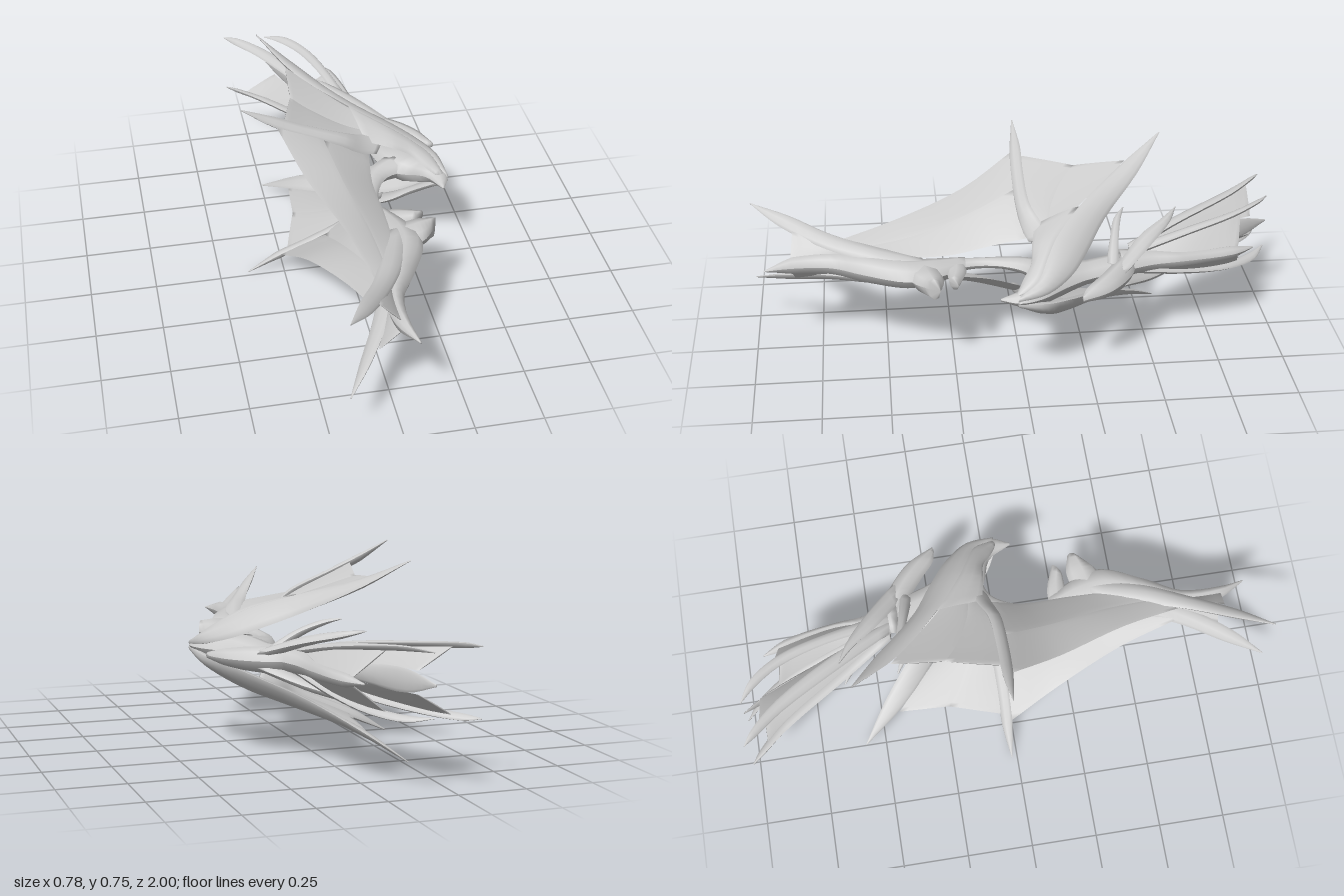
import * as THREE from 'three';

const hide = new THREE.MeshStandardMaterial({ color: 0xcccccc, side: THREE.DoubleSide });
hide.name = 'pale grey hide';

const vec = (p) => new THREE.Vector3(...p);
// Points on the plane of symmetry, given as [x, z]
const flat = (pts) => pts.map(([x, z]) => [x, 0, z]);
const flip = (pts) => pts.map(([x, h, z]) => [x, -h, z]);

// Lens-shaped solid lofted between two edge curves; t lists the half thickness
function blade(name, edgeA, edgeB, t) {
  const a = new THREE.CatmullRomCurve3(edgeA.map(vec));
  const b = new THREE.CatmullRomCurve3(edgeB.map(vec));
  const thick = (u) => {
    if (!Array.isArray(t)) return t;
    const f = u * (t.length - 1), i = Math.min(Math.floor(f), t.length - 2);
    return THREE.MathUtils.lerp(t[i], t[i + 1], f - i);
  };
  const steps = (edgeA.length - 1) * 4, half = 5, ring = half * 2;
  const pos = [], idx = [];
  const mid = (u) => a.getPoint(u).add(b.getPoint(u)).multiplyScalar(0.5);
  let normal = new THREE.Vector3(0, 1, 0);
  for (let i = 0; i <= steps; i++) {
    const u = i / steps, d = b.getPoint(u).sub(a.getPoint(u)), m = mid(u);
    const tangent = mid(Math.min(1, u + 0.01)).sub(mid(Math.max(0, u - 0.01))).normalize();
    const n = tangent.cross(d);
    if (n.length() > 1e-3) normal = n.normalize();
    for (let k = 0; k < ring; k++) {
      const s = k < half ? k : k - 1;
      const ang = (s / (half - 1)) * Math.PI;
      const p = m.clone().addScaledVector(d, -Math.cos(ang) / 2)
        .addScaledVector(normal, Math.sin(ang) * thick(u));
      pos.push(p.x, p.y, p.z);
      if (i < steps && k % half !== half - 1) {
        const q = i * ring + k;
        idx.push(q, q + ring, q + 1, q + 1, q + ring, q + ring + 1);
      }
    }
  }
  // End caps
  const last = steps * ring;
  for (let k = 1; k < ring - 1; k++) idx.push(0, k, k + 1, last, last + k + 1, last + k);
  const geo = new THREE.BufferGeometry();
  geo.setAttribute('position', new THREE.Float32BufferAttribute(pos, 3));
  geo.setIndex(idx);
  geo.computeVertexNormals();
  const mesh = new THREE.Mesh(geo, hide);
  mesh.name = name;
  return mesh;
}

export function createModel() {
  const model = new THREE.Group();
  model.name = 'wingedCreature';
  const body = new THREE.Group();
  body.name = 'body';
  body.position.y = 0.373;
  model.add(body);
  const centre = (name, a, b, t) => body.add(blade(name, flat(a), flat(b), t));
  const pair = (name, a, b, t) => {
    body.add(blade(name + 'Upper', a, b, t));
    body.add(blade(name + 'Lower', flip(a), flip(b), t));
  };

  // Chest, neck and head
  centre('chestAndNeck',
    [[0.358, 0.09], [0.388, 0.02], [0.365, -0.06], [0.29, -0.16], [0.24, -0.24], [0.2, -0.36]],
    [[0.35, 0.088], [0.3, 0], [0.2, -0.04], [0.15, -0.12], [0.12, -0.25], [0.08, -0.39]],
    [0.005, 0.03, 0.055, 0.055, 0.04, 0.045]);
  centre('head',
    [[0.388, -0.21], [0.345, -0.3], [0.29, -0.36], [0.2, -0.42], [0.1, -0.44]],
    [[0.37, -0.205], [0.33, -0.215], [0.27, -0.265], [0.2, -0.32], [0.1, -0.38]],
    [0.012, 0.03, 0.042, 0.05, 0.035]);
  pair('longHorn',
    [[0.25, 0.025, -0.38], [0.12, 0.075, -0.5], [0.01, 0.105, -0.585], [-0.07, 0.125, -0.62]],
    [[0.18, 0.025, -0.36], [0.07, 0.085, -0.46], [-0.01, 0.115, -0.56], [-0.068, 0.128, -0.617]],
    [0.018, 0.018, 0.013, 0.003]);
  pair('shortHorn',
    [[0.2, 0.025, -0.36], [0.1, 0.09, -0.375], [0.01, 0.125, -0.395], [-0.055, 0.14, -0.415]],
    [[0.17, 0.025, -0.32], [0.08, 0.085, -0.345], [0, 0.125, -0.37], [-0.053, 0.143, -0.41]],
    [0.018, 0.015, 0.011, 0.003]);

  // Rear fan: middle feathers, side feathers and the webs between them
  centre('fanKeelFeather',
    [[0.19, -0.38], [0.15, -0.5], [0.135, -0.62], [0.1, -0.82], [0.05, -0.905]],
    [[0.06, -0.38], [0.07, -0.48], [0.1, -0.62], [0.06, -0.8], [0.046, -0.9]],
    [0.05, 0.04, 0.03, 0.025, 0.003]);
  const middle = [[0.08, 0.025, -0.42], [-0.03, 0.035, -0.7], [-0.11, 0.04, -0.89], [-0.165, 0.004, -1]];
  body.add(blade('fanMiddleFeather', middle, flip(middle), [0.02, 0.012, 0.008, 0.002]));
  pair('fanOuterFeather',
    [[0.1, 0.035, -0.42], [0, 0.085, -0.6], [-0.17, 0.12, -0.86], [-0.28, 0.13, -0.97], [-0.33, 0.122, -1]],
    [[0.05, 0.035, -0.42], [-0.06, 0.075, -0.6], [-0.215, 0.105, -0.85], [-0.295, 0.112, -0.95], [-0.33, 0.12, -0.998]],
    [0.016, 0.013, 0.011, 0.008, 0.002]);
  pair('fanInnerFeather',
    [[0.13, 0.035, -0.42], [0.07, 0.085, -0.65], [0.005, 0.115, -0.83], [-0.08, 0.125, -0.95], [-0.16, 0.11, -0.998]],
    [[0.08, 0.035, -0.42], [0.03, 0.085, -0.65], [-0.04, 0.105, -0.84], [-0.11, 0.11, -0.94], [-0.16, 0.108, -0.994]],
    [0.016, 0.013, 0.011, 0.008, 0.002]);
  pair('fanOuterWeb',
    [[0.07, 0.035, -0.42], [-0.03, 0.08, -0.6], [-0.19, 0.112, -0.86], [-0.25, 0.115, -0.935]],
    [[0.08, 0.025, -0.42], [0.02, 0.03, -0.6], [-0.1, 0.04, -0.86], [-0.13, 0.04, -0.93]], 0.003);
  pair('fanInnerWeb',
    [[0.1, 0.035, -0.42], [0.05, 0.085, -0.65], [-0.02, 0.11, -0.82], [-0.05, 0.112, -0.87]],
    [[0.13, 0.01, -0.45], [0.12, 0.01, -0.62], [0.09, 0.01, -0.77], [0.07, 0.01, -0.84]], 0.003);

  // Slim spine, hips with two spurs, and tail
  centre('spine',
    [[0.25, -0.05], [0.16, -0.02], [0.11, 0.06], [0.095, 0.15], [0.11, 0.24]],
    [[0.16, -0.13], [0.08, -0.06], [0.05, 0.05], [0.05, 0.15], [0.05, 0.26]],
    [0.045, 0.03, 0.02, 0.02, 0.025]);
  centre('frontSpur', [[0.07, 0.2], [0.14, 0.2], [0.24, 0.235]], [[0.07, 0.27], [0.15, 0.27], [0.2, 0.268]],
    [0.025, 0.025, 0.025]);
  centre('rearSpur', [[0.12, 0.3], [0.2, 0.285], [0.27, 0.302]], [[0.12, 0.42], [0.2, 0.4], [0.25, 0.345]],
    [0.04, 0.045, 0.042]);
  centre('tail',
    [[0.11, 0.2], [0.18, 0.33], [0.195, 0.42], [0.125, 0.58], [0.06, 0.7], [0.05, 0.85], [0.063, 0.95]],
    [[0.05, 0.2], [0.06, 0.32], [0.06, 0.42], [0.02, 0.58], [-0.01, 0.7], [0, 0.84], [0.055, 0.945]],
    [0.03, 0.045, 0.05, 0.052, 0.042, 0.035, 0.002]);
  pair('tailFin',
    [[0.15, 0.02, 0.36], [0.09, 0.04, 0.56], [0.015, 0.055, 0.71], [-0.095, 0.105, 0.89], [-0.188, 0.16, 1]],
    [[0.07, 0.025, 0.36], [0, 0.06, 0.57], [-0.055, 0.09, 0.71], [-0.125, 0.132, 0.85], [-0.19, 0.16, 0.996]],
    [0.02, 0.022, 0.016, 0.012, 0.002]);
  pair('tailWeb',
    [[0.03, 0.055, 0.6], [-0.02, 0.075, 0.74], [-0.06, 0.1, 0.84]],
    [[0.03, 0.02, 0.6], [0.02, 0.02, 0.74], [0.02, 0.02, 0.85]], 0.003);

  // Wings: arm folded along a ridge, second finger and stretched membranes
  const ridge = [[0.37, 0.02, 0.02], [0.335, 0.065, -0.05], [0.265, 0.115, -0.09], [0.19, 0.155, -0.13],
    [0.05, 0.208, -0.23], [-0.13, 0.275, -0.4], [-0.248, 0.359, -0.572]];
  pair('wingArmFront',
    [[0.385, 0.003, 0.03], [0.365, 0.02, -0.08], [0.29, 0.05, -0.175], [0.2, 0.09, -0.24], [0.06, 0.155, -0.325],
      [-0.11, 0.26, -0.475], [-0.25, 0.36, -0.58]],
    ridge, [0.01, 0.018, 0.02, 0.02, 0.017, 0.013, 0.002]);
  pair('wingArmRear', ridge.slice(0, 5),
    [[0.345, 0.015, 0.03], [0.3, 0.045, 0.005], [0.25, 0.085, -0.03], [0.18, 0.12, -0.04], [0.08, 0.15, -0.06]],
    [0.01, 0.015, 0.015, 0.015, 0.01]);
  pair('wingFinger',
    [[0.17, 0.14, -0.12], [0.08, 0.165, -0.085], [0, 0.205, -0.05], [-0.15, 0.265, -0.04], [-0.27, 0.318, -0.04],
      [-0.39, 0.372, -0.022]],
    [[0.12, 0.105, -0.035], [0.055, 0.125, -0.015], [-0.02, 0.18, 0], [-0.16, 0.245, 0.005], [-0.27, 0.295, 0],
      [-0.39, 0.371, -0.018]],
    [0.01, 0.015, 0.016, 0.014, 0.015, 0.002]);
  const frontFold = [[0.09, 0.165, -0.11], [0, 0.195, -0.13], [-0.12, 0.245, -0.19], [-0.175, 0.27, -0.235]];
  pair('upperFrontMembrane',
    [[0.1, 0.188, -0.18], [0.02, 0.215, -0.25], [-0.1, 0.262, -0.37], [-0.16, 0.288, -0.43]], frontFold, 0.003);
  pair('lowerFrontMembrane', frontFold,
    [[0.09, 0.145, -0.06], [0, 0.19, -0.03], [-0.15, 0.255, -0.02], [-0.235, 0.295, -0.02]], 0.003);
  const rearFold = [[-0.09, 0.22, 0], [-0.05, 0.145, 0.18], [0, 0.085, 0.4], [0.02, 0.055, 0.62]];
  pair('outerRearMembrane',
    [[-0.265, 0.295, -0.005], [-0.19, 0.185, 0.19], [-0.09, 0.115, 0.45], [-0.035, 0.065, 0.67]], rearFold, 0.003);
  pair('innerRearMembrane', rearFold,
    [[0.09, 0.105, -0.03], [0.075, 0.072, 0.1], [0.085, 0.045, 0.26], [0.08, 0.04, 0.5]], 0.004);

  return model;
}
